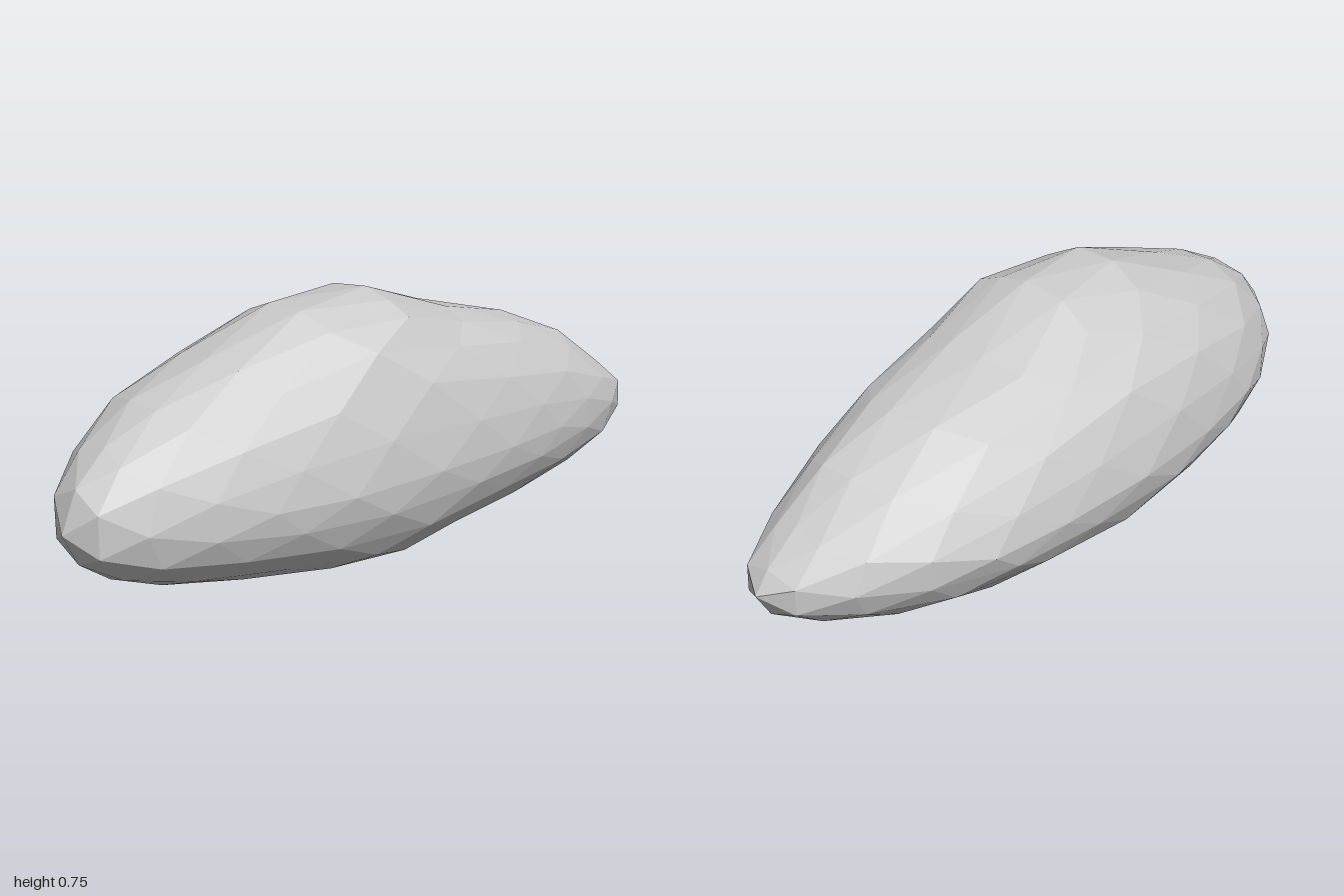
import * as THREE from 'three';

// Outline stations along the stone: z, left x, right x, bottom y, top y, widest y, ridge x
const stations = [
  [-1.0, 0.07, 0.07, 0.27, 0.27, 0.27, 0.07],
  [-0.95, -0.04, 0.17, 0.185, 0.335, 0.27, 0.07],
  [-0.8, -0.17, 0.24, 0.12, 0.44, 0.28, 0.07],
  [-0.73, -0.21, 0.26, 0.1, 0.5, 0.29, 0.07],
  [-0.5, -0.31, 0.31, 0.05, 0.6, 0.3, 0.06],
  [-0.22, -0.35, 0.35, 0.045, 0.68, 0.31, 0.05],
  [0.03, -0.367, 0.362, 0.0, 0.77, 0.32, 0.06],
  [0.2, -0.36, 0.357, 0.02, 0.77, 0.32, 0.05],
  [0.3, -0.35, 0.35, 0.03, 0.74, 0.32, 0.04],
  [0.55, -0.31, 0.31, 0.08, 0.65, 0.33, 0.03],
  [0.7, -0.25, 0.27, 0.11, 0.6, 0.33, 0.03],
  [0.85, -0.16, 0.22, 0.165, 0.515, 0.33, 0.05],
  [0.95, -0.05, 0.17, 0.23, 0.45, 0.33, 0.07],
  [1.0, 0.07, 0.07, 0.33, 0.33, 0.33, 0.07],
];

function sectionAt(z) {
  let i = 0;
  while (i < stations.length - 2 && z > stations[i + 1][0]) i++;
  const a = stations[i], b = stations[i + 1];
  const t = THREE.MathUtils.clamp((z - a[0]) / (b[0] - a[0]), 0, 1);
  return a.map((v, k) => THREE.MathUtils.lerp(v, b[k], t));
}

// Repeatable chipping: identical directions always get the same offset
function chip(d) {
  return Math.sin(d.x * 9.1 + d.y * 5.3 + 1.7) * Math.sin(d.y * 8.3 - d.z * 11.9 + 0.6) * Math.cos(d.z * 7.7 + d.x * 6.1);
}

export function createModel() {
  const group = new THREE.Group();
  group.name = 'rock';

  // Faceted ball reshaped to fit the outline at each station
  const geometry = new THREE.IcosahedronGeometry(1, 3);
  const pos = geometry.attributes.position;
  const d = new THREE.Vector3();
  for (let i = 0; i < pos.count; i++) {
    d.fromBufferAttribute(pos, i).normalize();
    const [, left, right, bottom, top, midY, ridge] = sectionAt(d.z);
    const r = Math.hypot(d.x, d.y);
    const ux = r > 1e-5 ? d.x / r : 0;
    const uy = r > 1e-5 ? d.y / r : 0;
    // chips fade out toward the outline so the overall size stays true
    const s = 1 + 0.05 * chip(d) * Math.abs(2 * ux * uy);
    const x = ridge + s * ux * (ux > 0 ? right - ridge : ridge - left);
    const y = midY + s * uy * (uy > 0 ? top - midY : midY - bottom);
    pos.setXYZ(i, x, y, d.z);
  }
  geometry.computeVertexNormals();

  const stone = new THREE.Mesh(
    geometry,
    new THREE.MeshStandardMaterial({ color: 0xcccccc, flatShading: true })
  );
  stone.name = 'stone';
  group.add(stone);
  return group;
}
